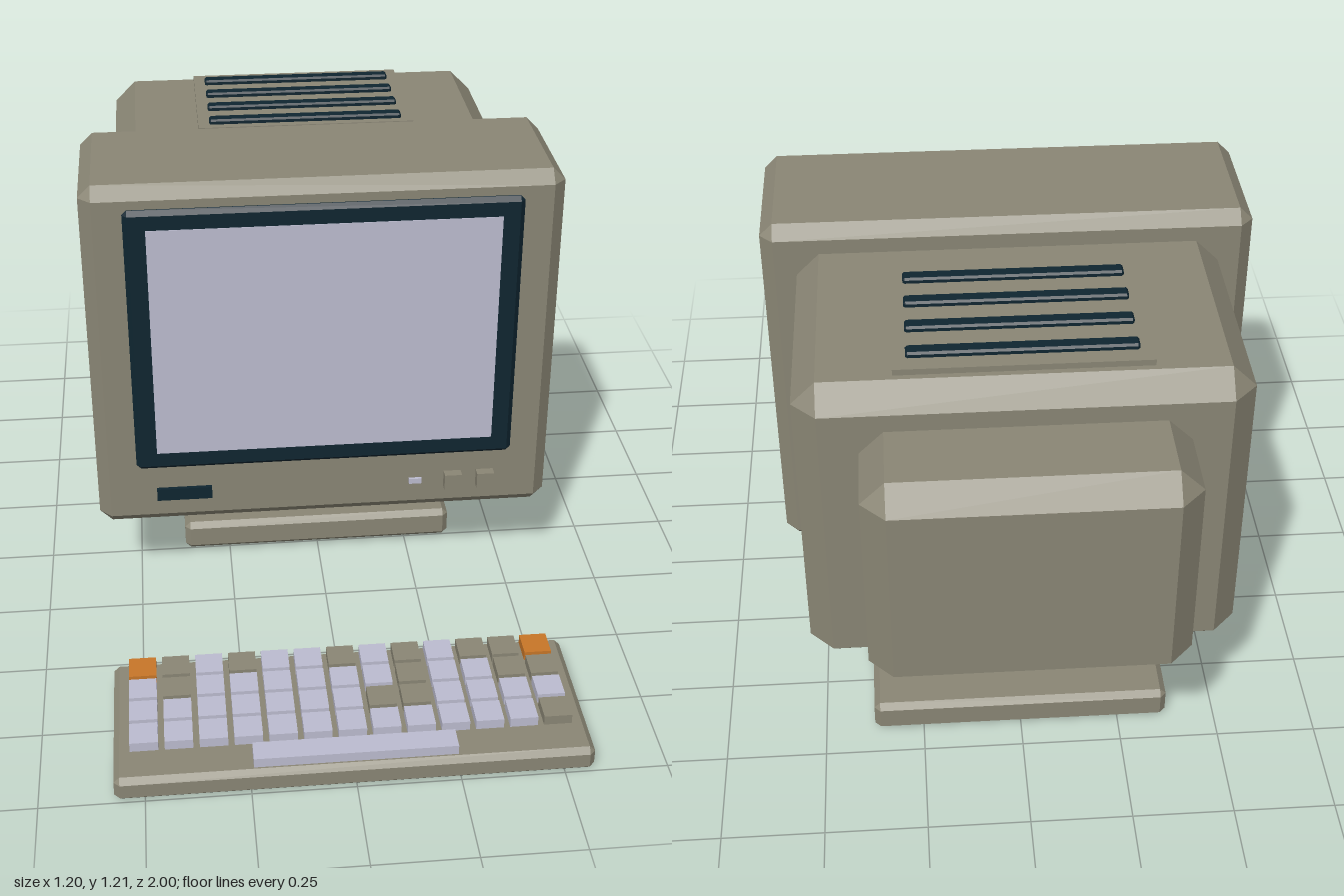
import * as THREE from 'three';
import { ConvexGeometry } from 'three/addons/geometries/ConvexGeometry.js';

const mat = (name, color) => {
  const m = new THREE.MeshStandardMaterial({ color });
  m.name = name;
  return m;
};

// Box between two corners with every edge cut at 45 degrees by c
function chamferBox(min, max, c) {
  const mid = min.map((v, i) => (v + max[i]) / 2);
  const half = min.map((v, i) => (max[i] - v) / 2);
  const points = [];
  for (const sx of [-1, 1]) for (const sy of [-1, 1]) for (const sz of [-1, 1]) {
    const s = [sx, sy, sz];
    for (let out = 0; out < 3; out++) {
      points.push(new THREE.Vector3(...s.map((d, i) => d * (half[i] - (i === out ? 0 : c)))));
    }
  }
  const geometry = new ConvexGeometry(points);
  geometry.translate(...mid);
  return geometry;
}

function plainBox(min, max) {
  const geometry = new THREE.BoxGeometry(...min.map((v, i) => max[i] - v));
  geometry.translate(...min.map((v, i) => (v + max[i]) / 2));
  return geometry;
}

export function createModel() {
  const body = mat('casing beige', 0x8a8675);
  const dark = mat('dark trim', 0x0f2530);
  const pale = mat('pale lavender', 0xbcbcd0);
  const orange = mat('orange key', 0xc87628);

  const model = new THREE.Group();
  model.name = 'desktopComputer';
  const group = (name) => {
    const g = new THREE.Group();
    g.name = name;
    model.add(g);
    return g;
  };
  const add = (parent, name, geometry, material) => {
    const mesh = new THREE.Mesh(geometry, material);
    mesh.name = name;
    parent.add(mesh);
    return mesh;
  };

  // Monitor casing: three stepped blocks
  const monitor = group('monitor');
  add(monitor, 'frontCasing', chamferBox([-0.6, 0.235, -0.19], [0.6, 1.21, 0.21], 0.032), body);
  add(monitor, 'middleCasing', chamferBox([-0.515, 0.335, -0.77], [0.515, 1.14, -0.1], 0.056), body);
  add(monitor, 'rearCasing', chamferBox([-0.37, 0.465, -1], [0.37, 1.04, -0.65], 0.056), body);

  // Screen and its dark surround
  add(monitor, 'screenSurround', chamferBox([-0.495, 0.415, 0.17], [0.495, 1.155, 0.225], 0.012), dark);
  add(monitor, 'screen', plainBox([-0.44, 0.467, 0.222], [0.44, 1.105, 0.227]), pale);

  // Front controls
  add(monitor, 'slot', plainBox([-0.445, 0.315, 0.2], [-0.3, 0.35, 0.22]), dark);
  add(monitor, 'powerLight', plainBox([0.226, 0.325, 0.2], [0.26, 0.34, 0.218]), pale);
  for (const x of [0.343, 0.43]) {
    add(monitor, 'button', plainBox([x - 0.023, 0.31, 0.2], [x + 0.023, 0.356, 0.235]), body);
  }

  // Vent panel with four slats
  add(monitor, 'ventPanel', plainBox([-0.29, 1.13, -0.7], [0.29, 1.155, -0.3]), body);
  for (let i = 0; i < 4; i++) {
    const z = -0.64 + i * 0.1;
    add(monitor, 'ventSlat', chamferBox([-0.26, 1.14, z - 0.018], [0.26, 1.168, z + 0.018], 0.005), dark);
  }

  // Stand: eight-sided neck on a square foot
  const stand = group('stand');
  const neckGeometry = new THREE.CylinderGeometry(0.16, 0.2, 0.15, 8).toNonIndexed();
  neckGeometry.computeVertexNormals();
  add(stand, 'standNeck', neckGeometry, body).position.set(0, 0.16, -0.335);
  add(stand, 'standFoot', chamferBox([-0.375, 0, -0.68], [0.375, 0.085, 0.01], 0.015), body);

  // Keyboard: O orange, G casing coloured, L pale
  const keyboard = group('keyboard');
  add(keyboard, 'keyboardCase', chamferBox([-0.572, 0, 0.572], [0.572, 0.065, 1], 0.014), body);
  const keyMaterials = { O: orange, G: body, L: pale };
  const rows = ['OGLGLLGLGLGGO', 'LGLLLLLLGLLGG', 'LLLLLLLGGLLLL', 'LLLLLLLLLLLLG'];
  rows.forEach((row, r) => {
    const z = 0.623 + r * 0.081;
    [...row].forEach((code, c) => {
      const x = (c - 6) * 0.0832;
      add(keyboard, 'key', plainBox([x - 0.034, 0.055, z - 0.035], [x + 0.034, 0.09, z + 0.035]), keyMaterials[code]);
    });
  });
  add(keyboard, 'spaceBar', plainBox([-0.243, 0.055, 0.924], [0.243, 0.09, 0.982]), pale);

  return model;
}
